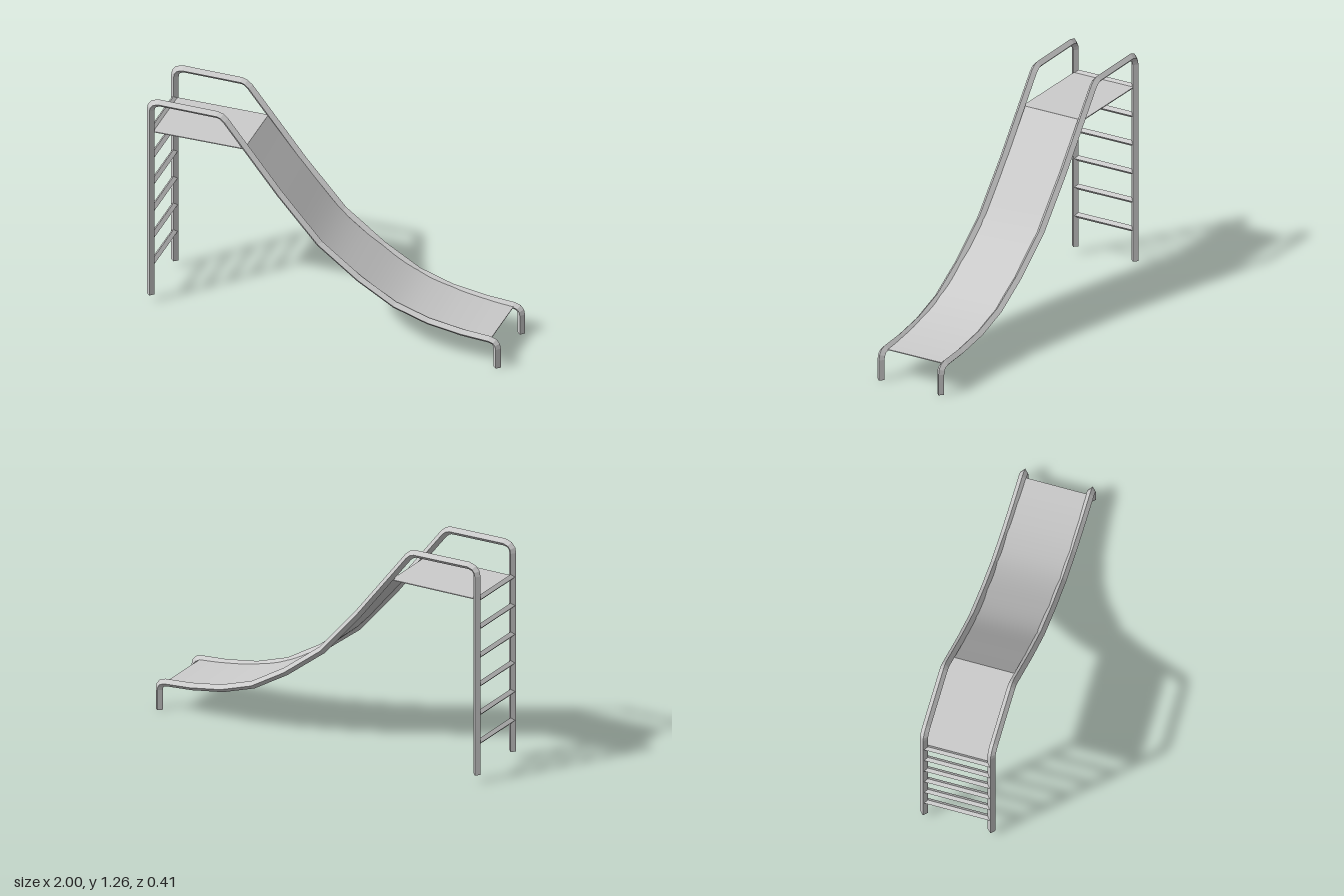
import * as THREE from 'three';
import { toCreasedNormals } from 'three/addons/utils/BufferGeometryUtils.js';

const RAIL_R = 0.0215, RAIL_Z = 0.186, LEG_X = 0.9785, DECK_Y = 1.05;
const flat = new THREE.MeshStandardMaterial({ color: 0xcccccc, flatShading: true });
const smooth = new THREE.MeshStandardMaterial({ color: 0xcccccc, side: THREE.DoubleSide });

// Centre line of one rail: ladder leg, handrail, slide edge, front foot
const railPath = [
  [-LEG_X, 0.045], [-LEG_X, 1.185], [-0.974, 1.208], [-0.96, 1.226], [-0.93, 1.236],
  [-0.6, 1.232], [-0.578, 1.225], [-0.555, 1.205], [-0.25, 0.815], [-0.025, 0.556],
  [0.2, 0.383], [0.4, 0.264], [0.59, 0.202], [0.78, 0.172], [0.935, 0.161],
  [0.962, 0.152], [0.974, 0.137], [LEG_X, 0.115], [LEG_X, 0],
].map(([x, y]) => new THREE.Vector2(x, y));

// Sweeps a diamond section along a path in the xy plane, mitred at each bend
function sweepDiamond(path, r) {
  const pos = [], idx = [], n = path.length;
  path.forEach((p, i) => {
    const a = p.clone().sub(path[Math.max(i - 1, 0)]).normalize();
    const b = path[Math.min(i + 1, n - 1)].clone().sub(p).normalize();
    const t = a.clone().add(b).normalize();
    const m = r / t.dot(i < n - 1 ? b : a);
    const nx = -t.y * m, ny = t.x * m;
    pos.push(p.x + nx, p.y + ny, 0, p.x, p.y, r, p.x - nx, p.y - ny, 0, p.x, p.y, -r);
    if (i === 0) return;
    for (let k = 0; k < 4; k++) {
      const k2 = (k + 1) % 4, u = (i - 1) * 4, v = i * 4;
      idx.push(u + k, u + k2, v + k, u + k2, v + k2, v + k);
    }
  });
  const e = (n - 1) * 4;
  idx.push(0, 2, 1, 0, 3, 2, e, e + 1, e + 2, e, e + 2, e + 3);
  const g = new THREE.BufferGeometry();
  g.setAttribute('position', new THREE.Float32BufferAttribute(pos, 3));
  g.setIndex(idx);
  g.computeVertexNormals();
  return g;
}

export function createModel() {
  const model = new THREE.Group();
  const add = (name, geometry, material, x = 0, y = 0, z = 0) => {
    const mesh = new THREE.Mesh(geometry, material);
    mesh.name = name;
    mesh.position.set(x, y, z);
    model.add(mesh);
    return mesh;
  };

  // Side rails
  const rail = sweepDiamond(railPath, RAIL_R);
  add('leftRail', rail, flat, 0, 0, RAIL_Z);
  add('rightRail', rail, flat, 0, 0, -RAIL_Z);

  // Ladder rungs
  const rungGeo = new THREE.CylinderGeometry(0.017, 0.017, RAIL_Z * 2, 4).rotateX(Math.PI / 2);
  for (let i = 0; i < 6; i++) add('rung' + (i + 1), rungGeo, flat, -LEG_X, DECK_Y - i * 0.165, 0);

  // Top platform
  add('platform', new THREE.BoxGeometry(0.525, 0.005, RAIL_Z * 2), flat, -0.7125, DECK_Y, 0);

  // Slide bed: a thin curved sheet between the rails
  const curve = new THREE.SplineCurve([
    [-0.45, 1.052], [-0.25, 0.817], [-0.025, 0.56], [0.2, 0.39], [0.4, 0.274],
    [0.59, 0.212], [0.78, 0.178], [0.94, 0.163],
  ].map(([x, y]) => new THREE.Vector2(x, y)));
  const top = curve.getPoints(36);
  const bottom = top.map((p) => new THREE.Vector2(p.x, p.y - 0.005)).reverse();
  const bed = new THREE.ExtrudeGeometry(new THREE.Shape([...top, ...bottom]), {
    depth: RAIL_Z * 2, bevelEnabled: false,
  }).translate(0, 0, -RAIL_Z);
  add('slideBed', toCreasedNormals(bed, 0.5), smooth);

  return model;
}
